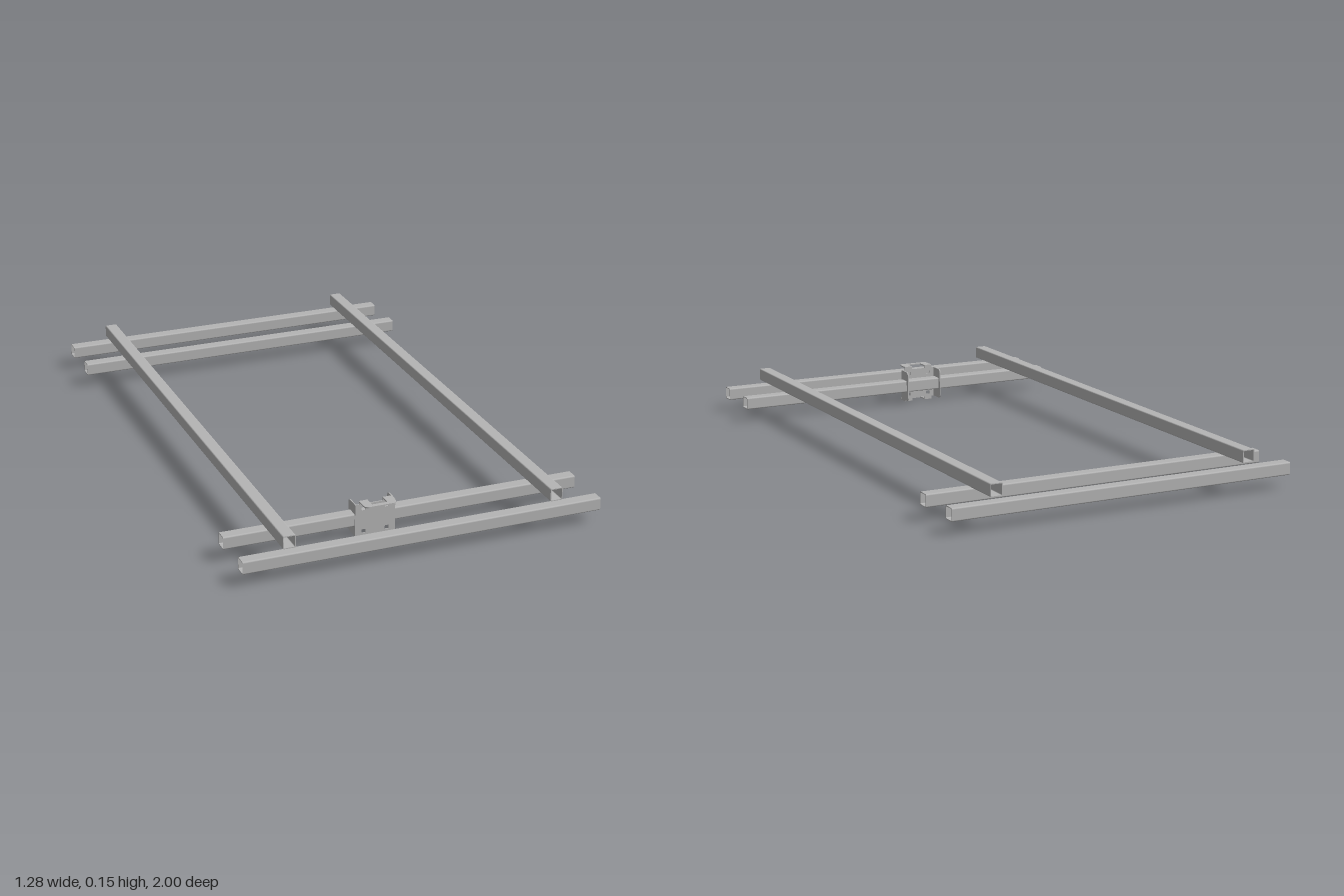
import * as THREE from 'three';

const steel = new THREE.MeshStandardMaterial({ color: 0xb4b4b4 });
steel.name = 'steel';

const BAR = 0.045, WALL = 0.003, T = 0.004;

// Rounded rectangle outline, centred on (cx, cy)
function roundRect(cx, cy, w, h, r, Type = THREE.Shape) {
  const s = new Type(), x = w / 2 - r, y = h / 2 - r;
  s.absarc(cx + x, cy + y, r, 0, Math.PI / 2);
  s.absarc(cx - x, cy + y, r, Math.PI / 2, Math.PI);
  s.absarc(cx - x, cy - y, r, Math.PI, Math.PI * 1.5);
  s.absarc(cx + x, cy - y, r, Math.PI * 1.5, Math.PI * 2);
  s.closePath();
  return s;
}

// Extrusion centred on its own depth
function extrude(shape, depth) {
  return new THREE.ExtrudeGeometry(shape, { depth, bevelEnabled: false, curveSegments: 4 })
    .translate(0, 0, -depth / 2);
}

function add(group, geometry, name, x = 0, y = 0, z = 0) {
  const mesh = new THREE.Mesh(geometry, steel);
  mesh.name = name;
  mesh.position.set(x, y, z);
  group.add(mesh);
  return mesh;
}

// Hollow square tube running along z
function tube(length) {
  const s = roundRect(0, 0, BAR, BAR, 0.005);
  s.holes.push(roundRect(0, 0, BAR - 2 * WALL, BAR - 2 * WALL, 0.003, THREE.Path));
  return extrude(s, length);
}

// Folded sheet bracket, local origin at the centre of the tube it holds
function createBracket() {
  const g = new THREE.Group();
  g.name = 'bracket';
  const front = BAR / 2 + T / 2, halfW = 0.072, halfH = 0.058, reach = 0.07;

  // Face plate with four bolt holes
  const face = roundRect(0, 0, 2 * halfW, 2 * halfH, 0.002);
  for (const x of [-0.042, 0.042])
    for (const y of [-0.042, 0.042])
      face.holes.push(roundRect(x, y, 0.014, 0.014, 0.002, THREE.Path));
  add(g, extrude(face, T), 'facePlate', 0, 0, front);

  // Side flanges, rounded at the back, with an opening for the tube
  const zBack = -0.034, zFront = front + T / 2, r = 0.014;
  const side = new THREE.Shape();
  side.moveTo(-zFront, -halfH);
  side.lineTo(-zBack - r, -halfH);
  side.absarc(-zBack - r, -halfH + r, r, -Math.PI / 2, 0);
  side.absarc(-zBack - r, halfH - r, r, 0, Math.PI / 2);
  side.lineTo(-zFront, halfH);
  side.closePath();
  side.holes.push(roundRect(0, 0, BAR, BAR, 0.005, THREE.Path));
  const flange = extrude(side, T).rotateY(Math.PI / 2);
  for (const s of [-1, 1])
    add(g, flange, s > 0 ? 'leftFlange' : 'rightFlange', s * (halfW - T / 2));

  // Lips above and below: two short legs joined by a slotted shelf
  const lip = new THREE.Shape(), w = 0.058, c = 0.016, depth = 0.056;
  lip.moveTo(-w, 0);
  lip.lineTo(-0.027, 0);
  lip.lineTo(-0.027, 0.04);
  lip.lineTo(0.027, 0.04);
  lip.lineTo(0.027, 0);
  lip.lineTo(w, 0);
  lip.absarc(w - c, depth - c, c, 0, Math.PI / 2);
  lip.absarc(-w + c, depth - c, c, Math.PI / 2, Math.PI);
  lip.closePath();
  const shelf = extrude(lip, T).rotateX(Math.PI / 2);
  const leg = new THREE.BoxGeometry(0.031, reach - halfH, T);
  for (const s of [-1, 1]) {
    const end = s > 0 ? 'upper' : 'lower';
    add(g, shelf, end + 'Lip', 0, s * (reach - T / 2), front - T / 2);
    for (const x of [-0.0425, 0.0425])
      add(g, leg, end + 'LipLeg', x, s * (reach + halfH) / 2, front);
  }
  return g;
}

export function createModel() {
  const model = new THREE.Group();
  model.name = 'tubeFrame';

  // Two long rails on top
  const rail = tube(1.98);
  for (const s of [-1, 1])
    add(model, rail, s > 0 ? 'leftRail' : 'rightRail', s * 0.477, 0.137, 0);

  // Four cross bars below, in pairs at the ends
  const cross = tube(1.28).rotateY(Math.PI / 2);
  for (const s of [-1, 1]) {
    const end = s > 0 ? 'front' : 'back';
    add(model, cross, end + 'OuterBar', 0, 0.077, s * 0.9775);
    add(model, cross, end + 'InnerBar', 0, 0.077, s * 0.79);
  }

  // Bracket on the front inner bar
  const bracket = createBracket();
  bracket.position.set(-0.106, 0.077, 0.79);
  model.add(bracket);

  // Stand on the ground
  const box = new THREE.Box3().setFromObject(model);
  model.position.y = -box.min.y;
  return model;
}
